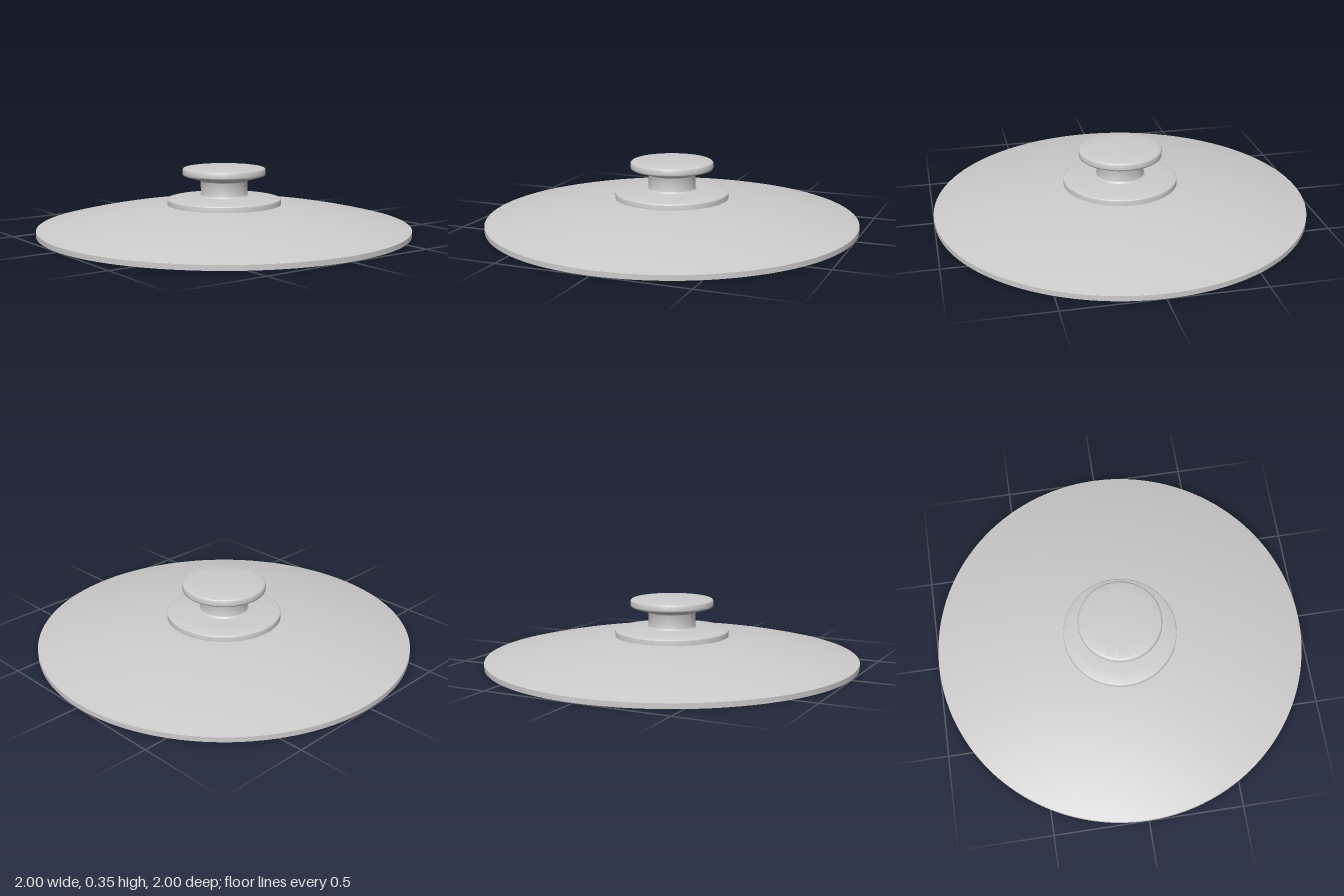
import * as THREE from 'three';
import { toCreasedNormals } from 'three/addons/utils/BufferGeometryUtils.js';

const material = new THREE.MeshStandardMaterial({ color: 0xcccccc, side: THREE.DoubleSide });

// Turn a profile of [radius, height] points, keeping its hard edges sharp
function turned(name, profile) {
  const points = profile.map(([r, y]) => new THREE.Vector2(r, y));
  const mesh = new THREE.Mesh(toCreasedNormals(new THREE.LatheGeometry(points, 128), 0.5), material);
  mesh.name = name;
  return mesh;
}

// Shallow curved dome height at radius r
const domeHeight = (r, apex) => apex - 0.13 * r * r;

// Points along an elliptical corner, angles in degrees
function corner(cx, cy, rx, ry, from, to, steps = 6) {
  return Array.from({ length: steps + 1 }, (_, i) => {
    const a = THREE.MathUtils.degToRad(from + (to - from) * i / steps);
    return [cx + rx * Math.cos(a), cy + ry * Math.sin(a)];
  });
}

export function createModel() {
  const group = new THREE.Group();
  group.name = 'lid';

  // Hollow dome: underside outward, round the rim band, back over the top
  const steps = 24;
  const inner = [], outer = [];
  for (let i = 0; i <= steps; i++) {
    const r = i / steps;
    inner.push([r * 0.99, domeHeight(r, 0.138)]);
    outer.unshift([r, domeHeight(r, 0.157)]);
  }
  group.add(turned('dome', [...inner, [0.99, 0], [1, 0], ...outer]));

  // Stepped collar under the handle
  group.add(turned('collar', [
    [0.27, 0.145], [0.305, 0.145], [0.305, 0.17],
    ...corner(0.297, 0.17, 0.008, 0.007, 0, 80, 4),
    [0.24, 0.184], [0.18, 0.188], [0.1, 0.191],
  ]));

  // Stem with flared ends
  group.add(turned('stem', [
    ...corner(0.142, 0.205, 0.017, 0.017, 270, 180),
    ...corner(0.142, 0.265, 0.017, 0.017, 180, 90),
  ]));

  // Rounded knob with a slightly domed top
  group.add(turned('knob', [
    [0.1, 0.281], [0.142, 0.282], [0.175, 0.288], [0.2, 0.296],
    ...corner(0.207, 0.31, 0.015, 0.012, -60, 0),
    ...corner(0.207, 0.331, 0.015, 0.011, 0, 85),
    [0.15, 0.347], [0.08, 0.35], [0, 0.352],
  ]));

  return group;
}
